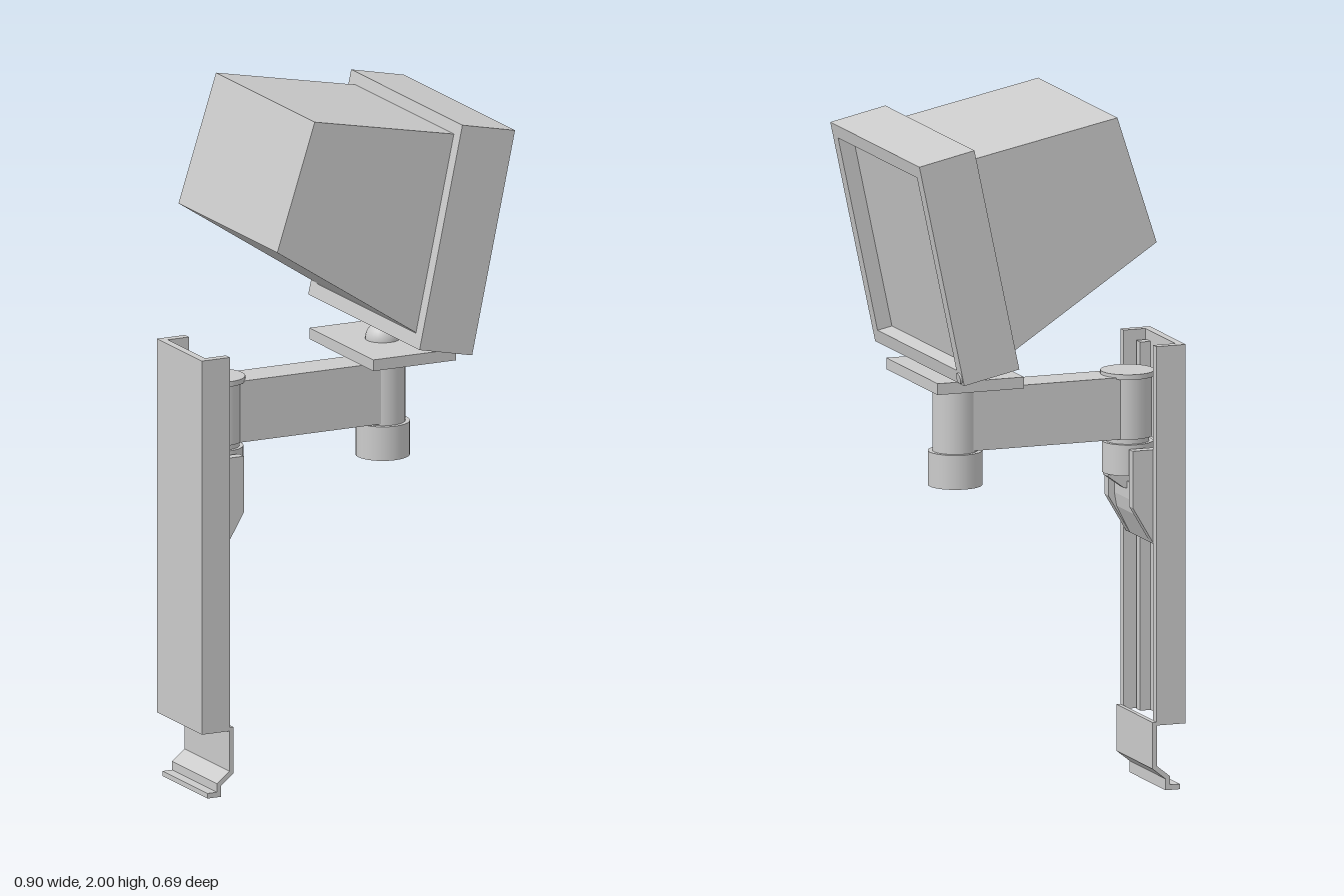
import * as THREE from 'three';

const material = new THREE.MeshStandardMaterial({ color: 0xcccccc, side: THREE.DoubleSide });

function add(parent, name, geometry, x = 0, y = 0, z = 0) {
  const mesh = new THREE.Mesh(geometry, material);
  mesh.name = name;
  mesh.position.set(x, y, z);
  parent.add(mesh);
  return mesh;
}

// Box given by its limits on each axis
function box(parent, name, x0, x1, y0, y1, z0, z1) {
  return add(parent, name, new THREE.BoxGeometry(x1 - x0, y1 - y0, z1 - z0),
    (x0 + x1) / 2, (y0 + y1) / 2, (z0 + z1) / 2);
}

// Upright cylinder between two heights
function post(parent, name, x, r, y0, y1) {
  return add(parent, name, new THREE.CylinderGeometry(r, r, y1 - y0, 28), x, (y0 + y1) / 2, 0);
}

function outline(points) {
  return new THREE.Shape(points.map(([x, y]) => new THREE.Vector2(x, y)));
}

// Side profile in x and y, extruded across z
function profile(parent, name, points, z0, z1) {
  const geometry = new THREE.ExtrudeGeometry(outline(points), { depth: z1 - z0, bevelEnabled: false });
  return add(parent, name, geometry, 0, 0, z0);
}

function wallMount() {
  const g = new THREE.Group();
  g.name = 'wallMount';

  // Open channel with two inner rails
  box(g, 'channelBack', -0.45, -0.427, 0.19, 1.29, -0.14, 0.14);
  for (const s of [-1, 1]) {
    const side = (name, x0, x1, y0, y1, a, b) =>
      box(g, name, x0, x1, y0, y1, Math.min(s * a, s * b), Math.max(s * a, s * b));
    side('channelSide', -0.427, -0.36, 0.19, 1.29, 0.115, 0.14);
    side('channelRail', -0.427, -0.395, 0.19, 1.26, 0.075, 0.105);
  }

  // Bent foot clip
  profile(g, 'footClip', [
    [-0.362, 0.2], [-0.348, 0.2], [-0.348, 0.065], [-0.388, 0.033], [-0.388, 0],
    [-0.432, 0], [-0.432, 0.015], [-0.402, 0.015], [-0.402, 0.04], [-0.362, 0.072],
  ], -0.14, 0.14);

  // Sliding carriage: two cheeks, a back and a sloping front plate
  const cheek = [[-0.425, 0.985], [-0.425, 0.71], [-0.365, 0.71], [-0.3, 0.82], [-0.3, 0.985]];
  profile(g, 'carriageCheek', cheek, 0.08, 0.11);
  profile(g, 'carriageCheek', cheek, -0.11, -0.08);
  box(g, 'carriageBack', -0.427, -0.414, 0.71, 0.985, -0.08, 0.08);
  profile(g, 'carriagePlate', [
    [-0.375, 0.71], [-0.365, 0.71], [-0.325, 0.79], [-0.318, 0.83], [-0.318, 0.88], [-0.33, 0.88], [-0.33, 0.83],
  ], -0.08, 0.08);
  return g;
}

function swingArm() {
  const g = new THREE.Group();
  g.name = 'swingArm';
  const wallX = -0.327, endX = 0.2;

  box(g, 'armBar', wallX, endX, 1.01, 1.19, -0.055, 0.055);

  // Wall hinge
  post(g, 'wallHingeBarrel', wallX, 0.07, 1.01, 1.19);
  post(g, 'wallHingeCap', wallX, 0.078, 1.185, 1.2);
  post(g, 'wallHingeNeck', wallX, 0.062, 0.995, 1.01);
  post(g, 'wallHingeKnob', wallX, 0.073, 0.905, 0.995);
  profile(g, 'lockLever', [[-0.37, 0.91], [-0.37, 0.86], [-0.31, 0.86], [-0.26, 0.897], [-0.26, 0.91]], -0.02, 0.02);

  // Outer hinge
  post(g, 'endHingeBarrel', endX, 0.065, 1.0, 1.195);
  post(g, 'endHingeCollar', endX, 0.055, 1.19, 1.215);
  post(g, 'endHingeKnob', endX, 0.078, 0.905, 1.005);

  // Tilting support under the display
  box(g, 'supportPlate', 0.068, 0.332, 1.212, 1.245, -0.2, 0.2);
  add(g, 'tiltBall', new THREE.SphereGeometry(0.05, 24, 16), endX, 1.247, 0);
  return g;
}

function display() {
  const g = new THREE.Group();
  g.name = 'display';

  // Tapered housing behind the bezel
  profile(g, 'housing', [[0.29, 1.907], [-0.175, 2], [-0.295, 1.63], [0.17, 1.327]], -0.308, 0.308);

  // Bezel, screen and button share one tilted frame
  const front = new THREE.Group();
  front.name = 'displayFront';
  front.position.set(0.14, 1.3, 0);
  front.rotation.z = -THREE.MathUtils.degToRad(12);
  g.add(front);

  const depth = 0.172, height = 0.66, half = 0.347;
  const frame = outline([[-half, 0], [half, 0], [half, height], [-half, height]]);
  frame.holes.push(outline([[-0.307, 0.04], [-0.307, 0.62], [0.307, 0.62], [0.307, 0.04]]));
  const bezel = new THREE.ExtrudeGeometry(frame, { depth, bevelEnabled: false });
  bezel.rotateY(Math.PI / 2);
  add(front, 'bezel', bezel);
  box(front, 'screen', 0.02, depth - 0.045, 0.04, 0.62, -0.307, 0.307);

  const button = new THREE.CylinderGeometry(0.016, 0.016, 0.012, 20);
  button.rotateZ(Math.PI / 2);
  add(front, 'powerButton', button, depth, 0.02, -0.326);
  return g;
}

export function createModel() {
  const model = new THREE.Group();
  model.name = 'wallMountedDisplay';
  model.add(wallMount(), swingArm(), display());
  return model;
}
